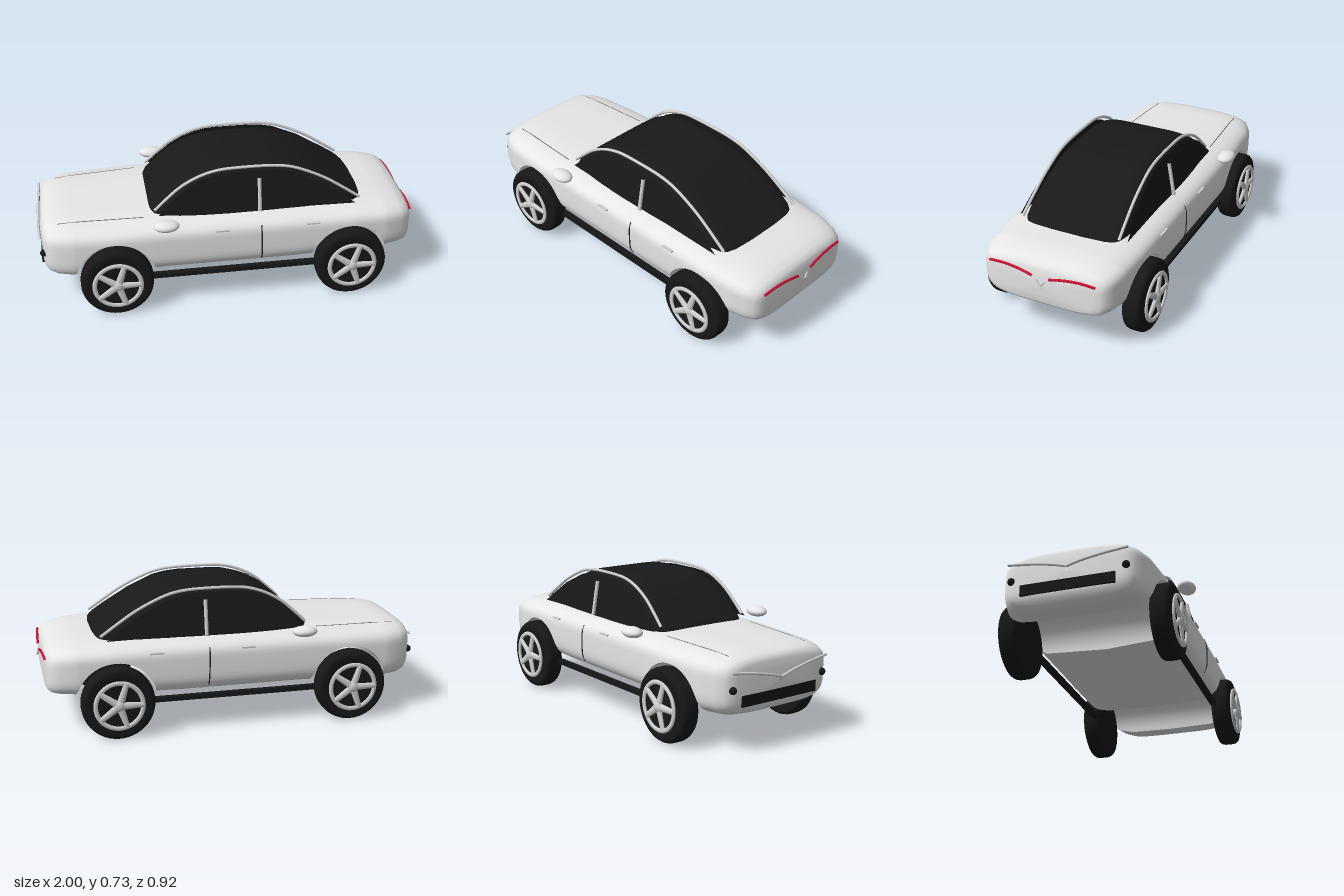
import * as THREE from 'three';
import { toCreasedNormals } from 'three/addons/utils/BufferGeometryUtils.js';

const mat = (name, color, side = THREE.FrontSide) => {
  const m = new THREE.MeshStandardMaterial({ color, side });
  m.name = name;
  return m;
};
const V = (x, y, z) => new THREE.Vector3(x, y, z);
const spow = (v, e) => Math.sign(v) * Math.abs(v) ** e;

// Body stations: x, half width, top, bottom
const BODY = [
  [-0.98, 0.004, 0.338, 0.334], [-0.978, 0.14, 0.39, 0.285], [-0.972, 0.26, 0.435, 0.237], [-0.963, 0.295, 0.453, 0.212],
  [-0.943, 0.322, 0.467, 0.192], [-0.9, 0.345, 0.477, 0.178], [-0.82, 0.368, 0.483, 0.174], [-0.6, 0.385, 0.488, 0.183],
  [-0.35, 0.389, 0.496, 0.19], [0.3, 0.389, 0.496, 0.19], [0.65, 0.385, 0.49, 0.198],
  [0.82, 0.372, 0.482, 0.203], [0.9, 0.352, 0.471, 0.206], [0.943, 0.33, 0.456, 0.213],
  [0.963, 0.305, 0.438, 0.225], [0.972, 0.27, 0.42, 0.24], [0.978, 0.14, 0.38, 0.285], [0.98, 0.004, 0.338, 0.334],
];
// Cabin stations: x, half width, top
const CABIN = [
  [-0.416, 0.14, 0.49], [-0.41, 0.21, 0.497], [-0.39, 0.25, 0.515], [-0.33, 0.28, 0.572], [-0.26, 0.29, 0.632],
  [-0.19, 0.296, 0.673], [-0.125, 0.299, 0.699], [-0.06, 0.301, 0.714], [0, 0.302, 0.719], [0.2, 0.3, 0.719],
  [0.27, 0.298, 0.713], [0.34, 0.296, 0.698], [0.49, 0.286, 0.632], [0.6, 0.273, 0.563], [0.66, 0.26, 0.522],
  [0.69, 0.238, 0.502], [0.706, 0.2, 0.493], [0.716, 0.12, 0.487],
];
const WHEELS = [-0.605, 0.625], AXLE = 0.188, ARCH = 0.205;
const TOP_N = 3.5, LOW_N = 4.8, END = 0.98;

// Linear lookup in the body table
function bodyAt(x) {
  let i = 1;
  while (i < BODY.length - 1 && BODY[i][0] < x) i++;
  const a = BODY[i - 1], b = BODY[i], f = (x - a[0]) / (b[0] - a[0]);
  const [w, top, bottom] = [1, 2, 3].map(k => a[k] + (b[k] - a[k]) * f);
  return { w, top, bottom, mid: bottom + (top - bottom) * 0.6 };
}
function bodyY(x, z) {
  const { w, top, mid } = bodyAt(x);
  return mid + (top - mid) * (1 - (Math.abs(z) / w) ** TOP_N) ** (1 / TOP_N);
}
function bodyZ(x, y) {
  const { w, top, bottom, mid } = bodyAt(x);
  const up = y > mid, n = up ? TOP_N : LOW_N;
  return w * (1 - (Math.abs(y - mid) / (up ? top - mid : mid - bottom)) ** n) ** (1 / n);
}
// Point on the full body surface, t going from the left side over the top
function bodyPoint(x, t) {
  const { w, top, bottom, mid } = bodyAt(x), sn = Math.sin(t);
  const e = 2 / (sn > 0 ? TOP_N : LOW_N);
  return V(x, mid + (sn > 0 ? top - mid : mid - bottom) * spow(sn, e), w * spow(Math.cos(t), e));
}
function bodyNormal(x, t) {
  const step = Math.abs(x) > 0.93 ? 0.004 : 0.012;
  const along = bodyPoint(Math.min(END, x + step), t).sub(bodyPoint(Math.max(-END, x - step), t));
  const around = bodyPoint(x, t + 0.03).sub(bodyPoint(x, t - 0.03));
  return along.cross(around).normalize();
}
// Angles of one section; the lowest follows the sill or the wheel arch
function bodyAngles(x) {
  const { top, bottom, mid } = bodyAt(x);
  let b = bottom;
  WHEELS.forEach(c => {
    const d = Math.abs(x - c);
    if (d < ARCH) b = Math.max(b, AXLE + Math.sqrt(ARCH * ARCH - d * d));
  });
  const s = b > mid ? (b - mid) / (top - mid) : (b - mid) / (mid - bottom);
  const t0 = Math.asin(THREE.MathUtils.clamp(spow(s, (b > mid ? TOP_N : LOW_N) / 2), -1, 1));
  const t1 = 0.12, low = [], high = [];
  for (let i = 0; i < 18; i++) low.push(t0 + (t1 - t0) * i / 18);
  for (let i = 0; i <= 40; i++) high.push(t1 + (Math.PI - 2 * t1) * i / 40);
  return [...low, ...high, ...low.map(t => Math.PI - t).reverse()];
}

// Surface through rows of points that run from -x to +x
function skin(rows) {
  const n = rows[0].length, idx = [];
  for (let i = 0; i < rows.length - 1; i++) for (let j = 0; j < n - 1; j++) {
    const a = i * n + j, b = a + n;
    idx.push(a, b, b + 1, a, b + 1, a + 1);
  }
  const g = new THREE.BufferGeometry().setFromPoints(rows.flat());
  g.setIndex(idx);
  return g;
}

function cabinSection([x, w, top], steps = 48) {
  return Array.from({ length: steps + 1 }, (_, i) => {
    const t = Math.PI * i / steps, y = 0.45 + (top - 0.45) * spow(Math.sin(t), 0.3);
    return V(x, y, w * spow(Math.cos(t), 0.3) * (1 - 0.14 * Math.max(0, y - 0.49) / 0.23));
  });
}

export function createModel() {
  const car = new THREE.Group();
  car.name = 'car';
  const paint = mat('silver paint', 0xe6e6e6);
  const black = mat('black glass', 0x191919, THREE.DoubleSide);
  const rubber = mat('black rubber', 0x171717);
  const chrome = mat('bright metal', 0xd0d0d0);
  const seam = mat('dark seam', 0x262626);
  const crease = mat('crease grey', 0x707070);
  const red = mat('red lamp', 0xd00f30);

  const add = (name, geo, m, parent = car) => {
    const mesh = new THREE.Mesh(geo, m);
    mesh.name = name;
    parent.add(mesh);
    return mesh;
  };
  const tube = (name, pts, r, m) =>
    add(name, new THREE.TubeGeometry(new THREE.CatmullRomCurve3(pts), 40, r, 8), m);
  const box = (name, size, p, m) => add(name, new THREE.BoxGeometry(...size), m).position.set(...p);

  // Body shell, with extra stations along each arch
  const xs = BODY.map(r => r[0]).filter(x => WHEELS.every(c => Math.abs(x - c) > ARCH + 0.002));
  WHEELS.forEach(c => {
    for (let k = 0; k <= 32; k++) xs.push(c + ARCH * Math.cos(k * Math.PI / 32));
  });
  xs.sort((a, b) => a - b);
  const angles = xs.map(bodyAngles);
  const rows = xs.map((x, i) => angles[i].map(t => bodyPoint(x, t)));
  const shell = skin(rows);
  const normals = xs.flatMap((x, i) => angles[i].flatMap(t => bodyNormal(x, t).toArray()));
  shell.setAttribute('normal', new THREE.Float32BufferAttribute(normals, 3));
  add('bodyShell', shell, paint);

  // Underside with wheel wells
  add('underside', toCreasedNormals(skin(rows.map(r => [r.at(-1), r[0]])), 0.7), paint);

  // Cabin
  add('cabin', toCreasedNormals(skin(CABIN.map(r => cabinSection(r))), 0.8), black);

  // Wheels
  const tire = new THREE.LatheGeometry([[0, -0.044], [0.12, -0.045], [0.165, -0.048], [0.178, -0.044], [0.185, -0.034],
    [0.188, -0.02], [0.188, 0.02], [0.185, 0.034], [0.178, 0.044], [0.165, 0.048], [0.135, 0.047], [0.125, 0.038], [0, 0.038]]
    .map(p => new THREE.Vector2(...p)), 48).rotateX(Math.PI / 2);
  const ring = new THREE.TorusGeometry(0.12, 0.012, 10, 48).scale(1, 1, 0.6);
  WHEELS.forEach(x => [1, -1].forEach(s => {
    const wheel = new THREE.Group();
    wheel.name = 'wheel';
    wheel.position.set(x, AXLE, s * 0.383);
    if (s < 0) wheel.rotation.y = Math.PI;
    add('tire', tire, rubber, wheel);
    add('rim', ring, chrome, wheel).position.z = 0.058;
    for (let i = 0; i < 5; i++) {
      const spoke = new THREE.CylinderGeometry(0.014, 0.02, 0.11, 10).translate(0, 0.065, 0);
      spoke.scale(1, 1, 0.6).rotateZ(i * Math.PI * 0.4 - Math.PI / 2).translate(0, 0, 0.06);
      add('spoke', spoke, chrome, wheel);
    }
    add('hub', new THREE.SphereGeometry(0.03, 20, 12).scale(1, 1, 0.6), chrome, wheel).position.z = 0.06;
    car.add(wheel);
  }));

  // Side window outline
  const frame = CABIN.slice(2, -2);
  const outline = frame.map(r => new THREE.Vector2(r[0] * 0.96, Math.max(0.48, r[2] - 0.018)));

  [1, -1].forEach(s => {
    // Side window, leaned inwards toward the roof
    const glass = new THREE.ShapeGeometry(new THREE.Shape(outline));
    const p = glass.attributes.position;
    for (let i = 0; i < p.count; i++) p.setZ(i, s * (0.3 - (p.getY(i) - 0.485) * 0.15));
    glass.computeVertexNormals();
    add('sideWindow', glass, black);

    // Roof rail, door post and sill
    tube('roofRail', frame.map(([x, , y]) => V(x, y - 0.001, s * (0.252 + 0.05 * (x - 0.14) ** 2))), 0.008, chrome);
    tube('doorPost', [V(0.15, 0.49, s * 0.316), V(0.15, 0.585, s * 0.3), V(0.15, 0.67, s * 0.285)], 0.01, chrome);
    box('sill', [0.87, 0.024, 0.03], [0.01, 0.175, s * 0.352], rubber);

    // Door mirror, handles and seams
    add('mirror', new THREE.SphereGeometry(1, 28, 18).scale(0.065, 0.028, 0.046), paint).position.set(-0.345, 0.502, s * 0.411);
    [-0.055, 0.42].forEach(x => box('doorHandle', [0.07, 0.008, 0.012], [x, 0.43, s * (bodyZ(x, 0.43) + 0.004)], chrome));
    tube('doorSeam', [0.44, 0.4, 0.36, 0.32, 0.28, 0.24].map((y, i) => V(0.148 + i * 0.001, y, s * (bodyZ(0.15, y) + 0.001))), 0.0035, seam);
    tube('bonnetCrease', [-0.89, -0.78, -0.67, -0.56, -0.45].map(x => {
      const z = 0.272 + (x + 0.45) * 0.06;
      return V(x, bodyY(x, z) - 0.001, s * z);
    }), 0.003, crease);

    // Tail lamp, brow strip and front lamp
    tube('tailLamp', [V(0.971, 0.404, s * 0.288), V(0.977, 0.411, s * 0.2), V(0.982, 0.403, s * 0.11), V(0.985, 0.389, s * 0.045)], 0.0065, red);
    tube('browStrip', [V(-0.991, 0.352, 0), V(-0.99, 0.37, s * 0.06), V(-0.986, 0.393, s * 0.17), V(-0.979, 0.412, s * 0.3)], 0.007, chrome);
    add('frontLamp', new THREE.SphereGeometry(0.019, 16, 12), rubber).position.set(-0.968, 0.325, s * 0.285);
  });

  // Grille and boot handle
  box('grille', [0.02, 0.055, 0.47], [-0.971, 0.265, 0], rubber);
  tube('bootHandle', [V(0.986, 0.373, 0.025), V(0.993, 0.352, 0), V(0.986, 0.373, -0.025)], 0.005, chrome);

  return car;
}
